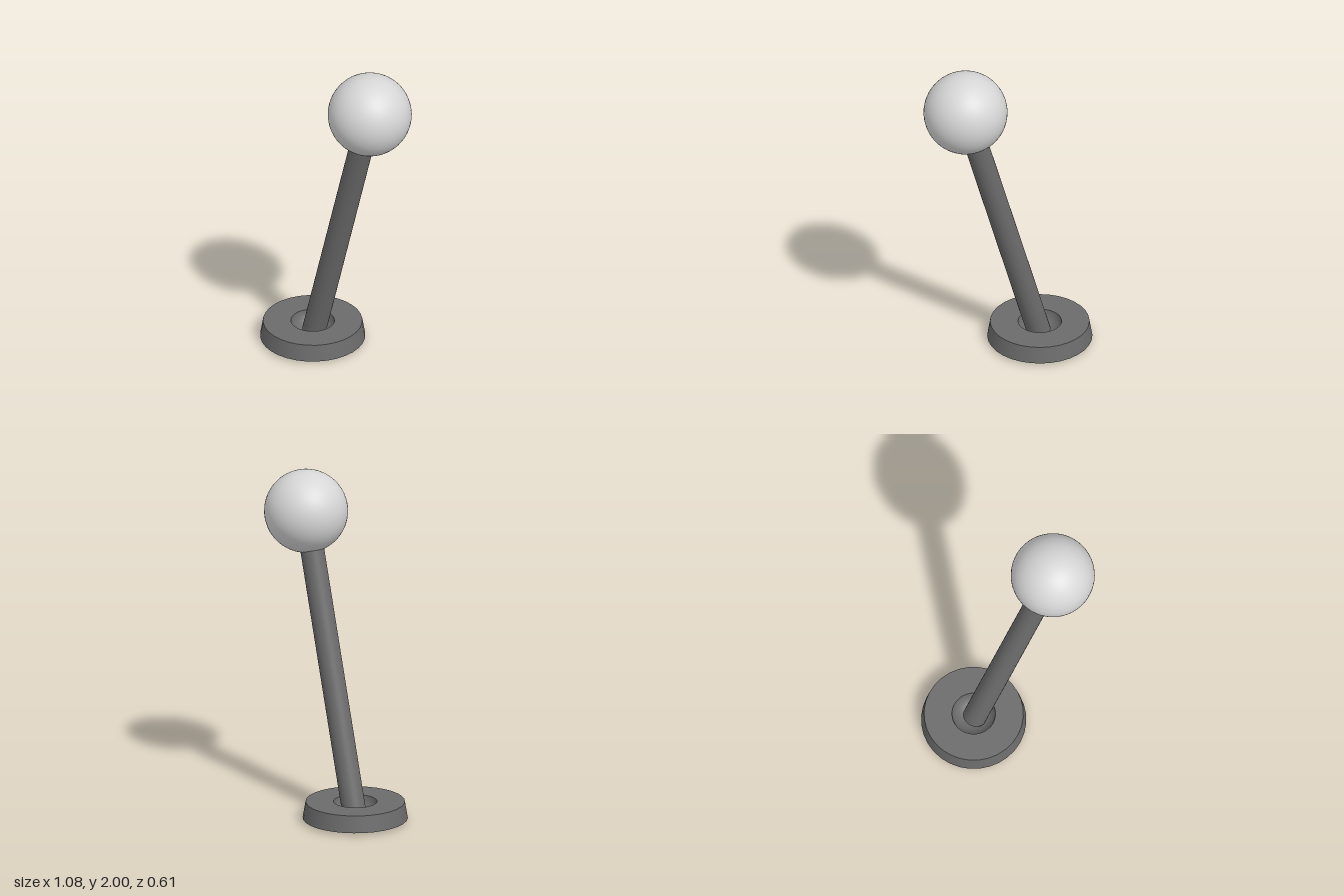
import * as THREE from 'three';

const darkMetal = new THREE.MeshStandardMaterial({ color: 0x6b6b6b });
darkMetal.name = 'darkGrey';
const knobWhite = new THREE.MeshStandardMaterial({ color: 0xd6d6d6 });
knobWhite.name = 'lightGrey';

function addPart(group, name, geometry, material) {
  const mesh = new THREE.Mesh(geometry, material);
  mesh.name = name;
  group.add(mesh);
  return mesh;
}

// Lathe from [radius, height] pairs, listed upwards along the outside
function lathe(points, sides) {
  return new THREE.LatheGeometry(points.map(([r, y]) => new THREE.Vector2(r, y)), sides);
}

export function createModel() {
  const model = new THREE.Group();
  model.name = 'lever';

  const foot = new THREE.Vector3(-0.24, 0.02, -0.003);
  const top = new THREE.Vector3(0.294, 1.755, -0.005);

  // Round base: very shallow underside, tapered rim, flat top ring, hollow socket
  const base = new THREE.Group();
  base.name = 'base';
  base.position.x = -0.237;
  model.add(base);
  addPart(base, 'baseUnderside', lathe([[0, 0.005], [0.307, 0.02]], 32), darkMetal);
  addPart(base, 'baseRim', lathe([[0.307, 0.02], [0.29, 0.12]], 32), darkMetal);
  addPart(base, 'baseTop', lathe([[0.29, 0.12], [0.127, 0.12]], 32), darkMetal);
  const bowl = [];
  for (let i = 0; i <= 8; i++) {
    const a = (i / 8) * Math.PI / 2;
    bowl.push([0.127 * Math.cos(a), 0.12 - 0.1 * Math.sin(a)]);
  }
  addPart(base, 'socket', lathe(bowl, 32), darkMetal);

  // Leaning shaft from the socket into the knob
  const axis = top.clone().sub(foot);
  const shaft = addPart(model, 'shaft',
    new THREE.CylinderGeometry(0.07, 0.07, axis.length() - 0.04, 32), darkMetal);
  shaft.quaternion.setFromUnitVectors(new THREE.Vector3(0, 1, 0), axis.clone().normalize());
  shaft.position.copy(foot).addScaledVector(axis.clone().normalize(), axis.length() / 2 + 0.02);

  // Ball knob
  const knob = addPart(model, 'knob', new THREE.SphereGeometry(0.245, 48, 32), knobWhite);
  knob.position.copy(top);

  return model;
}
